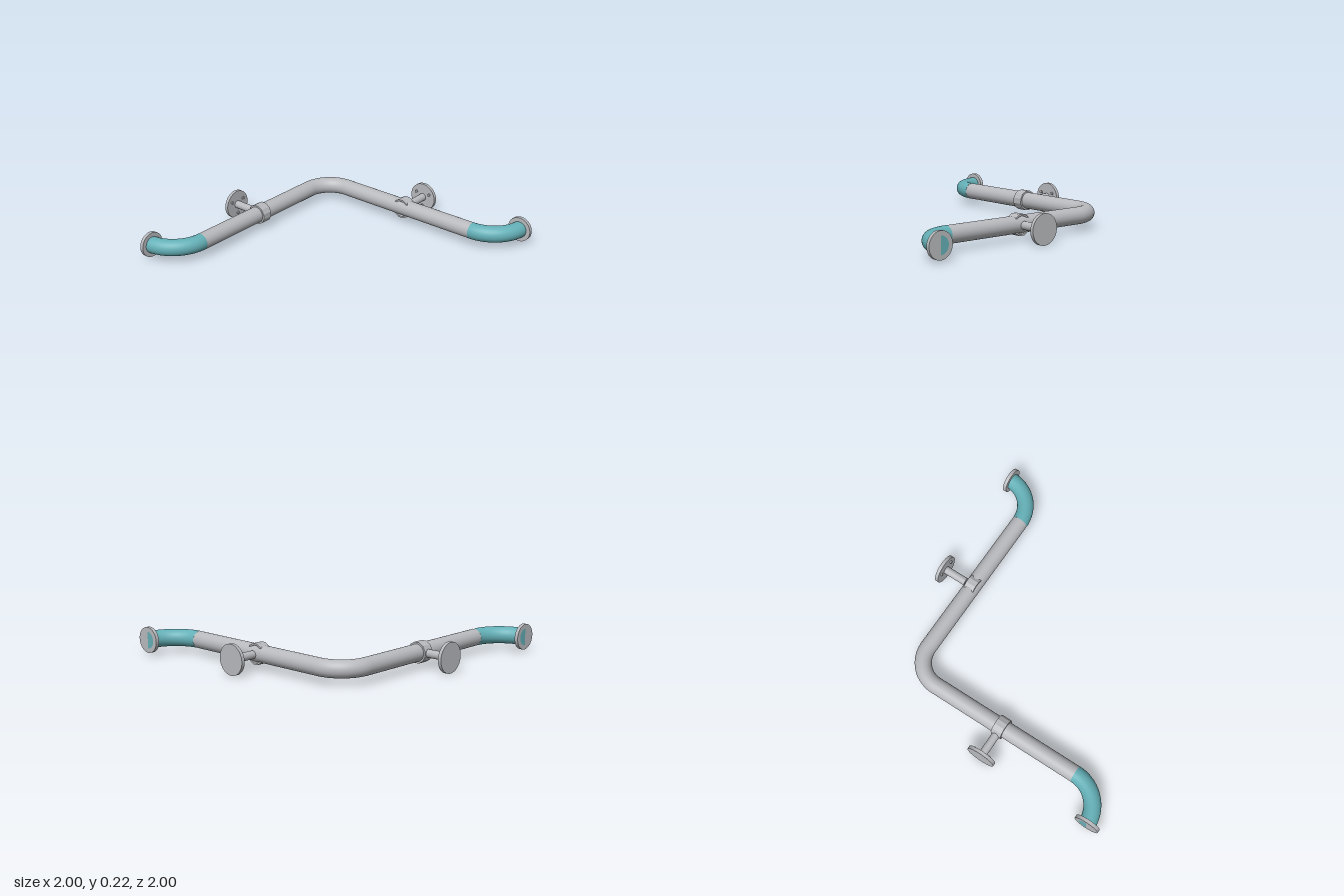
import * as THREE from 'three';

const Y = 0.108;      // height of the rail axis
const R = 0.061;      // rail radius
const LINE = 0.738;   // distance of both straight runs from the centre

// Quarter arc in the horizontal plane, tangent to the corner point at both ends
class QuarterArc extends THREE.Curve {
  constructor(cx, cz, radius, start, sweep) {
    super();
    Object.assign(this, { cx, cz, radius, start, sweep });
  }
  getPoint(t, target = new THREE.Vector3()) {
    const a = this.start + this.sweep * t;
    return target.set(this.cx + this.radius * Math.cos(a), 0, this.cz + this.radius * Math.sin(a));
  }
}

export function createModel() {
  const steel = new THREE.MeshStandardMaterial({ color: 0xb9babe });
  const teal = new THREE.MeshStandardMaterial({ color: 0x64b0b7 });
  const model = new THREE.Group();
  model.name = 'cornerGrabRail';

  function add(parent, name, geometry, material, x = 0, y = 0, z = 0) {
    const mesh = new THREE.Mesh(geometry, material);
    mesh.name = name;
    mesh.position.set(x, y, z);
    parent.add(mesh);
    return mesh;
  }

  // Cylinder running along z between two depths
  function rod(r, z0, z1, segments = 32) {
    return new THREE.CylinderGeometry(r, r, z1 - z0, segments)
      .rotateX(Math.PI / 2).translate(0, 0, (z0 + z1) / 2);
  }

  // Main rail: two straight runs joined by a smooth bend
  const bend = 0.21, bendStart = LINE - bend;
  const rail = new THREE.CurvePath();
  const straights = [
    new THREE.LineCurve3(new THREE.Vector3(-0.65, 0, -LINE), new THREE.Vector3(bendStart, 0, -LINE)),
    new THREE.LineCurve3(new THREE.Vector3(LINE, 0, -bendStart), new THREE.Vector3(LINE, 0, 0.65)),
  ];
  rail.add(straights[0]);
  rail.add(new QuarterArc(bendStart, -bendStart, bend, -Math.PI / 2, Math.PI / 2));
  rail.add(straights[1]);
  add(model, 'rail', new THREE.TubeGeometry(rail, 160, R, 32), steel, 0, Y, 0);

  // Groups whose local origin is on the wall and whose +z points into the room
  function wallGroup(name, x, z, angle) {
    const g = new THREE.Group();
    g.name = name;
    g.position.set(x, Y, z);
    g.rotation.y = angle;
    model.add(g);
    return g;
  }

  // End elbow with its round wall flange; side is the local x direction of the rail
  function endElbow(name, x, z, angle, side) {
    const g = wallGroup(name, x, z, angle);
    const radius = 0.256;
    const arc = new QuarterArc(side * radius, 0.006, radius,
      side > 0 ? Math.PI : 0, side > 0 ? -Math.PI / 2 : Math.PI / 2);
    add(g, 'elbow', new THREE.TubeGeometry(arc, 32, R + 0.0005, 32), teal);
    add(g, 'endFlange', rod(0.093, 0.001, 0.027, 40), steel);
    // Half of the pipe end shows on the wall face
    const half = new THREE.CircleGeometry(R, 24, side > 0 ? Math.PI / 2 : -Math.PI / 2, Math.PI);
    add(g, 'pipeEnd', half.rotateY(Math.PI), teal);
  }
  endElbow('backEnd', -0.906, -1, 0, 1);
  endElbow('leftEnd', 1, 0.906, -Math.PI / 2, -1);

  // Faceted clamp ring, axis along x
  function ringGeometry() {
    const sides = 12, outer = 0.0755, inner = 0.0615, half = 0.04;
    const shape = new THREE.Shape();
    for (let i = 0; i < sides; i++) {
      const a = (i + 0.5) / sides * Math.PI * 2;
      shape[i ? 'lineTo' : 'moveTo'](outer * Math.cos(a), outer * Math.sin(a));
    }
    shape.closePath();
    const hole = new THREE.Path();
    hole.absarc(0, 0, inner, 0, Math.PI * 2, true);
    shape.holes.push(hole);
    return new THREE.ExtrudeGeometry(shape, { depth: half * 2, bevelEnabled: false, curveSegments: 16 })
      .translate(0, 0, -half).rotateY(Math.PI / 2);
  }

  // Wall bracket: plate, three screws, stem and clamp ring
  function bracket(name, x, z, angle) {
    const g = wallGroup(name, x, z, angle);
    add(g, 'wallPlate', rod(0.108, 0, 0.025, 48), steel);
    add(g, 'stem', rod(0.029, 0.02, 0.2, 24), steel);
    for (const deg of [30, 150, 270]) {
      const a = THREE.MathUtils.degToRad(deg);
      add(g, 'screw', rod(0.011, 0.02, 0.036, 12), steel, 0.068 * Math.cos(a), 0.068 * Math.sin(a), 0);
    }
    return g;
  }
  const back = bracket('backBracket', -0.034, -1, 0);
  const left = bracket('leftBracket', 1, 0.034, -Math.PI / 2);

  // Both rings keep the same world orientation
  add(back, 'clampRing', ringGeometry(), steel, 0, 0, 1 - LINE);
  add(left, 'clampRing', ringGeometry(), steel, 0, 0, 1 - LINE).rotation.y = Math.PI / 2;

  return model;
}
